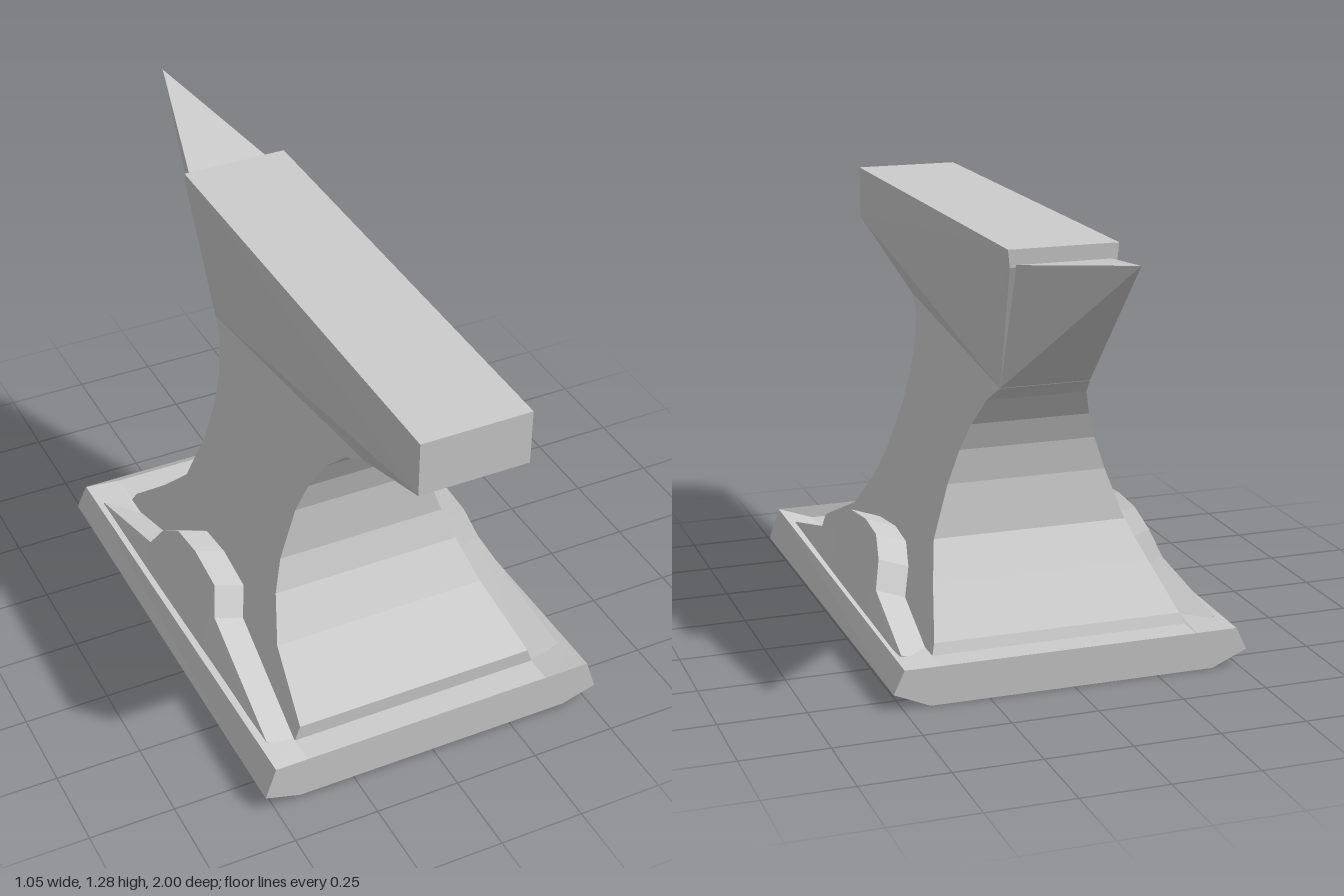
import * as THREE from 'three';
import { ConvexGeometry } from 'three/addons/geometries/ConvexGeometry.js';

const material = new THREE.MeshStandardMaterial({ color: 0xcccccc, flatShading: true });

// Skins a list of equal-length rings, each counterclockwise as seen from the last ring's side.
function loft(rings) {
  const pos = [];
  const quad = (a, b, c, d) => pos.push(...a, ...b, ...c, ...a, ...c, ...d);
  const n = rings[0].length;
  for (let i = 0; i < rings.length - 1; i++) {
    for (let j = 0; j < n; j++) {
      const k = (j + 1) % n;
      quad(rings[i][j], rings[i][k], rings[i + 1][k], rings[i + 1][j]);
    }
  }
  // End caps as strips between the two halves of the ring
  const first = rings[0], last = rings[rings.length - 1];
  for (let k = 0; k < n / 2 - 1; k++) {
    quad(last[k], last[k + 1], last[n - 2 - k], last[n - 1 - k]);
    quad(first[n - 1 - k], first[n - 2 - k], first[k + 1], first[k]);
  }
  const geometry = new THREE.BufferGeometry();
  geometry.setAttribute('position', new THREE.Float32BufferAttribute(pos, 3));
  geometry.computeVertexNormals();
  return geometry;
}

// Convex solid from points given for the +x side and mirrored to -x
function mirroredHull(points) {
  const all = points.flatMap(([x, y, z]) => [new THREE.Vector3(x, y, z), new THREE.Vector3(-x, y, z)]);
  return new ConvexGeometry(all);
}

// Half width of the tapering waist at height y
const waistHalf = (y) => 0.38 - (y - 0.1) * 0.347;

export function createModel() {
  const group = new THREE.Group();
  const add = (name, geometry) => {
    const mesh = new THREE.Mesh(geometry, material);
    mesh.name = name;
    group.add(mesh);
  };

  // Base plate with raised, bevelled sides: [z, bottom y, side rim y]
  const plate = [[-0.565, 0, 0.112], [0.76, 0, 0.138], [0.863, 0.013, 0.14]];
  add('basePlate', loft(plate.map(([z, low, rim]) => {
    const half = [[0.42, low], [0.525, 0.045], [0.493, rim], [0.38, 0.1]];
    const mirror = half.map(([x, y]) => [-x, y]).reverse();
    return [...half, ...mirror].map(([x, y]) => [x, y, z]);
  })));

  // Waist: concave front and back profiles as [y, z]
  const front = [[0.09, 0.745], [0.145, 0.745], [0.25, 0.52], [0.36, 0.43], [0.45, 0.395],
    [0.6, 0.385], [0.69, 0.405], [0.78, 0.45], [0.85, 0.52], [0.89, 0.6]];
  const back = [[0.09, -0.46], [0.13, -0.44], [0.25, -0.3], [0.35, -0.2], [0.5, -0.17],
    [0.6, -0.175], [0.68, -0.2], [0.76, -0.25], [0.79, -0.29], [0.81, -0.32]];
  add('waist', loft(front.map(([yf, zf], i) => {
    const [yb, zb] = back[i];
    const f = waistHalf(yf), b = waistHalf(yb);
    return [[-f, yf, zf], [f, yf, zf], [b, yb, zb], [-b, yb, zb]];
  })));

  // Head with flat working face, tapering down to the waist
  add('head', mirroredHull([
    [0.16, 1.23, 1], [0.16, 1.07, 1], [waistHalf(0.89), 0.89, 0.6],
    [waistHalf(0.81), 0.81, -0.32], [0.155, 1.18, -0.46], [0.16, 1.23, -0.46],
  ]));

  // Pointed horn at the back
  add('horn', mirroredHull([
    [0.14, 1.185, -0.45], [waistHalf(0.81), 0.81, -0.318], [0, 1.28, -1],
  ]));

  // Stepped side ribs: outline as [z, outer top y]
  const outline = [[-0.46, 0.115], [-0.13, 0.19], [-0.08, 0.265], [0, 0.315],
    [0.12, 0.325], [0.27, 0.31], [0.32, 0.235], [0.745, 0.13]];
  for (const [name, side] of [['leftRib', 1], ['rightRib', -1]]) {
    add(name, loft(outline.map(([z, y]) => {
      const inner = y - 0.035;
      const ring = [[0.36, 0.06], [0.485, 0.09], [0.47 - (y - 0.12) * 0.32, y],
        [waistHalf(inner) - 0.01, inner]].map(([x, h]) => [side * x, h, z]);
      return side > 0 ? ring : ring.reverse();
    })));
  }
  return group;
}
